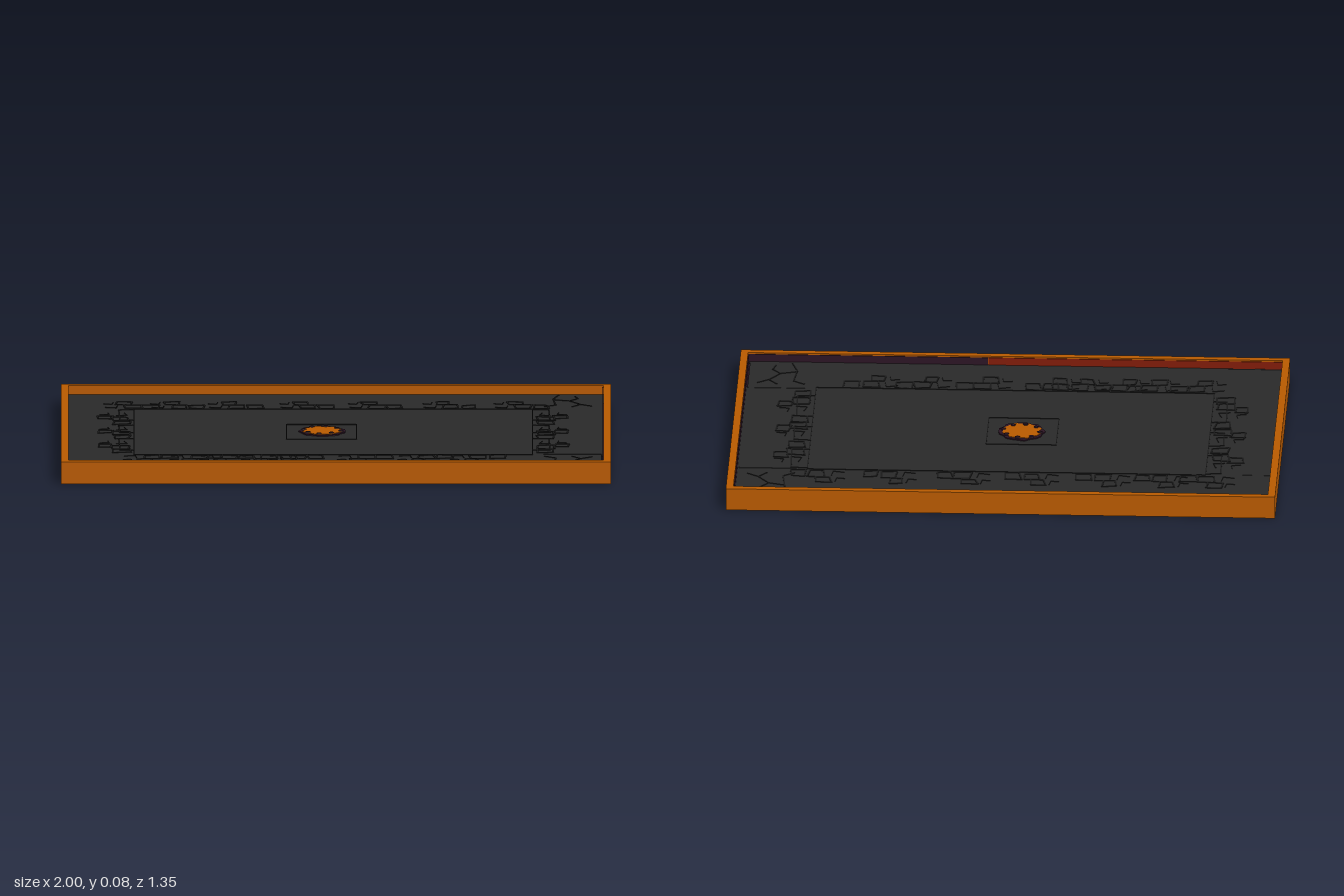
import * as THREE from 'three';
import { mergeGeometries } from 'three/addons/utils/BufferGeometryUtils.js';

const material = (name, color) => {
  const m = new THREE.MeshStandardMaterial({ color });
  m.name = name;
  return m;
};

// Horizontal slab from a shape drawn in (x, -z), with its underside at y
function slab(shape, y, height) {
  return new THREE.ExtrudeGeometry(shape, { depth: height, bevelEnabled: false })
    .rotateX(-Math.PI / 2).translate(0, y, 0);
}

function rect(x0, x1, z0, z1, Type = THREE.Shape) {
  return new Type([[x0, -z0], [x0, -z1], [x1, -z1], [x1, -z0]].map(p => new THREE.Vector2(...p)));
}

// Thin raised line through a list of [x, z] points
function line(points, width, y) {
  return points.slice(1).map((b, i) => {
    const a = points[i], dx = b[0] - a[0], dz = b[1] - a[1];
    return new THREE.BoxGeometry(Math.hypot(dx, dz) + width * 0.5, 0.003, width)
      .rotateY(-Math.atan2(dz, dx))
      .translate((a[0] + b[0]) / 2, y, (a[1] + b[1]) / 2);
  });
}

export function createModel() {
  const orange = material('burnt orange', 0xb85a00);
  const stone = material('dark stone', 0x292929);
  const groove = material('groove black', 0x191919);
  const purple = material('dark purple', 0x2b1424);
  const red = material('deep red', 0x801c08);
  const group = new THREE.Group();
  const add = (name, geometry, mat) => {
    const mesh = new THREE.Mesh(geometry, mat);
    mesh.name = name;
    group.add(mesh);
  };
  const FLOOR = 0.05;

  // Surrounding frame
  const frame = rect(-1, 1, -0.675, 0.675);
  frame.holes.push(rect(-0.973, 0.973, -0.648, 0.648, THREE.Path));
  add('frame', slab(frame, 0, 0.083), orange);

  // Stone floor with narrow open joints, stopping just short of the back wall
  const floor = rect(-0.974, 0.974, -0.644, 0.649);
  [
    [-0.97, -0.87, -0.387, -0.384],
    [0.755, 0.966, -0.388, -0.383],
    [0.755, 0.966, 0.389, 0.393],
    [-0.97, -0.77, 0.639, 0.643],
    [0.965, 0.969, 0.4, 0.635],
  ].forEach(r => floor.holes.push(rect(...r, THREE.Path)));
  add('floor', slab(floor, FLOOR - 0.006, 0.006), stone);

  // Coloured linings on the inside of the frame
  const plate = (w, h, d, x, y, z) => new THREE.BoxGeometry(w, h, d).translate(x, y, z);
  add('frontLiningRed', plate(1.07, 0.076, 0.003, -0.437, 0.04, 0.646), red);
  add('frontLiningPurple', plate(0.87, 0.076, 0.003, 0.535, 0.04, 0.646), purple);
  add('leftLiningPurple', plate(0.003, 0.076, 1.285, 0.971, 0.04, 0), purple);
  add('rightLiningRed', plate(0.003, 0.04, 1.285, -0.971, 0.022, 0), red);

  // Small seeded variation for worn stones
  let seed = 7;
  const jitter = amount => {
    seed = (seed * 16807) % 2147483647;
    return (seed / 2147483647 - 0.5) * amount;
  };
  const cracks = [];
  const crack = (points, width = 0.006) => cracks.push(...line(points, width, FLOOR + 0.0005));

  // One cluster of worn stones; place maps (along, outward) to the floor
  const cluster = place => {
    [[-0.025, 0.075, 0.05], [0.0, 0.015, 0.058], [0.066, 0.012, 0.056]].forEach(([u, v, s]) => {
      const corners = [[u, v], [u + s, v], [u + s, v + s], [u, v + s]]
        .map(([a, b]) => place(a + jitter(0.014), b + jitter(0.012)));
      corners.push(corners[0]);
      crack(corners);
    });
    crack([[-0.075, 0.09], [-0.045, 0.085], [-0.04, 0.12]].map(p => place(...p)), 0.003);
    crack([[-0.07, 0.03], [-0.03, 0.02], [-0.025, 0.06]].map(p => place(...p)), 0.003);
  };
  [-0.77, -0.6, -0.39, -0.13, 0.12, 0.39, 0.65].forEach(x =>
    cluster((u, v) => [x + u, -0.388 - v]));
  [-0.7, -0.53, -0.42, -0.27, -0.17, 0.08, 0.3, 0.49].forEach(x =>
    cluster((u, v) => [x + u, 0.397 + v]));
  [-0.25, 0, 0.24].forEach(z => {
    cluster((u, v) => [-0.74 - v, z + u]);
    cluster((u, v) => [0.72 + v, z + u]);
  });

  // Outline of the central field and the border kerbs
  const loop = (x0, x1, z0, z1, w) => crack([[x0, z0], [x1, z0], [x1, z1], [x0, z1], [x0, z0]], w);
  loop(-0.735, 0.715, -0.39, 0.4, 0.003);
  for (const [x0, x1] of [[-0.735, -0.79], [0.715, 0.775]]) {
    [[-0.38, -0.2], [-0.11, 0.02], [0.12, 0.32]].forEach(([a, b]) => {
      crack([[x0, a], [x1, a + 0.006], [x1 + 0.004, b], [x0, b]], 0.005);
    });
  }

  // Branching fractures in two corners
  for (const side of [-1, 1]) {
    const at = list => list.map(([x, z]) => [x, side * z]);
    crack(at([[0.76, 0.43], [0.8, 0.46], [0.79, 0.56], [0.81, 0.63]]), 0.005);
    crack(at([[0.79, 0.55], [0.85, 0.53], [0.89, 0.47], [0.86, 0.43]]), 0.005);
    crack(at([[0.85, 0.53], [0.88, 0.57], [0.87, 0.61]]), 0.005);
    crack(at([[0.89, 0.47], [0.93, 0.44]]), 0.005);
  }

  // Square slab outline in the middle
  loop(-0.18, 0.075, -0.122, 0.133, 0.003);
  add('stoneGrooves', mergeGeometries(cracks), groove);

  // Fire pit: jagged dark rim, glowing centre and stones leaning inwards
  const blob = (radius, wobble, count) => new THREE.Shape(
    Array.from({ length: count }, (_, i) => {
      const a = i / count * Math.PI * 2;
      const r = radius + wobble * Math.sin(i * 2.4) + jitter(wobble);
      return new THREE.Vector2(-0.05 + r * Math.cos(a), r * Math.sin(a));
    }));
  add('pitRim', slab(blob(0.084, 0.005, 22), FLOOR, 0.004), purple);
  add('pitGlow', slab(blob(0.07, 0.005, 20), FLOOR + 0.001, 0.005), orange);
  const stones = [];
  for (let i = 0; i < 8; i++) {
    const a = i / 8 * Math.PI * 2 + 0.2, r = 0.064 + jitter(0.01);
    stones.push(new THREE.CylinderGeometry(0.009, 0.012, 0.01, 5)
      .translate(-0.05 + r * Math.cos(a), FLOOR + 0.004, r * Math.sin(a)));
  }
  add('pitStones', mergeGeometries(stones), purple);

  return group;
}
